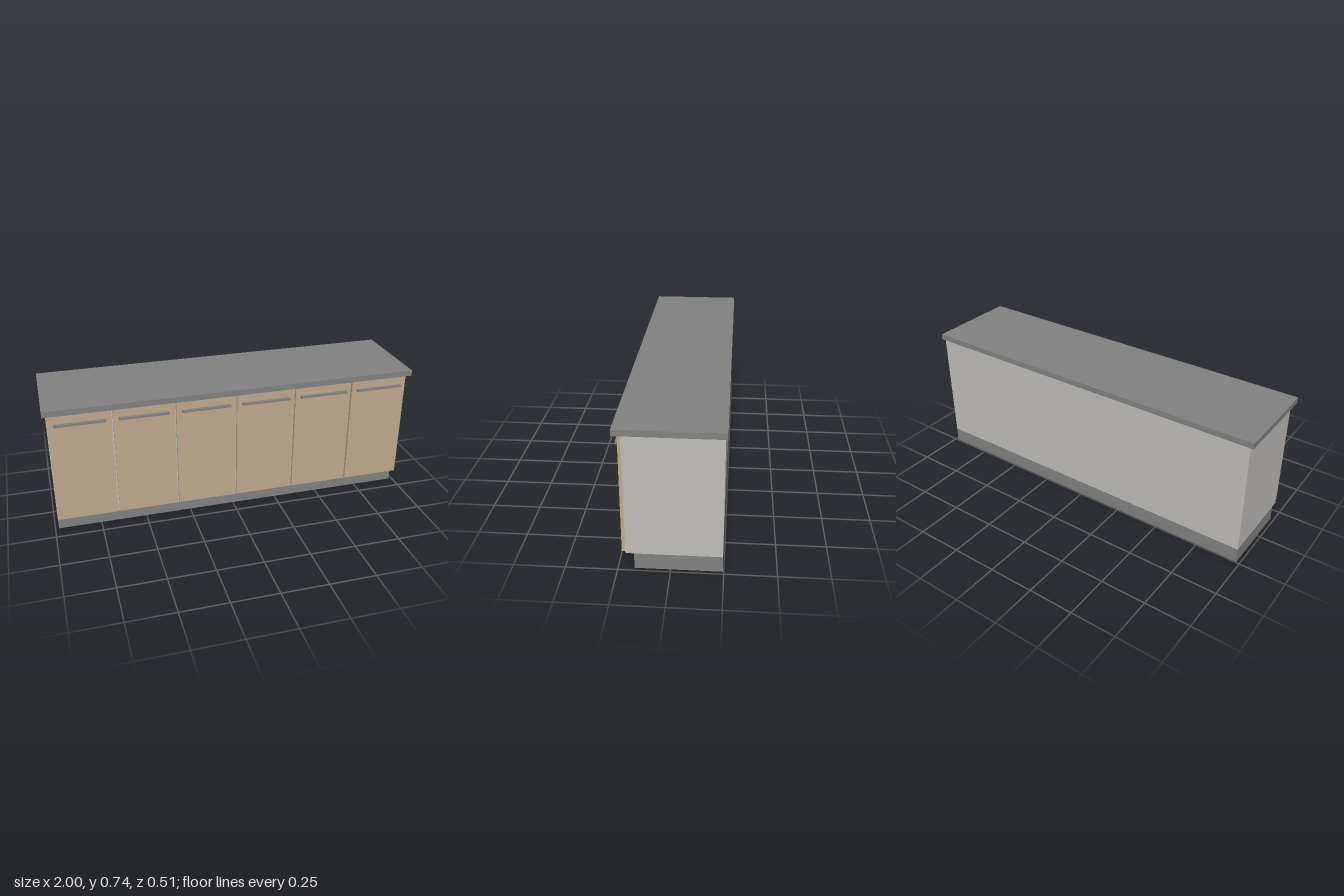
import * as THREE from 'three';

export function createModel() {
  const model = new THREE.Group();
  model.name = 'baseCabinetRow';

  const material = (name, color) => {
    const m = new THREE.MeshStandardMaterial({ color });
    m.name = name;
    return m;
  };
  const darkGrey = material('darkGrey', 0x828282);
  const lightGrey = material('lightGrey', 0xbfbebb);
  const wood = material('wood', 0xc0aa8e);

  // Box given by its extents along each axis
  const addBox = (name, mat, [x0, x1], [y0, y1], [z0, z1]) => {
    const mesh = new THREE.Mesh(new THREE.BoxGeometry(x1 - x0, y1 - y0, z1 - z0), mat);
    mesh.position.set((x0 + x1) / 2, (y0 + y1) / 2, (z0 + z1) / 2);
    mesh.name = name;
    model.add(mesh);
  };

  const half = 0.982;
  const back = -0.245;
  const front = 0.213;

  // Recessed plinth, carcass and overhanging worktop
  addBox('plinth', darkGrey, [-half, half], [0, 0.083], [back, 0.172]);
  addBox('carcass', lightGrey, [-half, half], [0.083, 0.707], [back, front]);
  addBox('worktop', darkGrey, [-1, 1], [0.707, 0.738], [-0.254, 0.254]);

  // Six doors with narrow gaps, each with a bar handle near the top
  const count = 6;
  const pitch = (2 * half) / count;
  const doorHalf = pitch / 2 - 0.004;
  const doorFace = 0.23;
  for (let i = 0; i < count; i++) {
    const x = -half + pitch * (i + 0.5);
    addBox(`door${i + 1}`, wood, [x - doorHalf, x + doorHalf], [0.092, 0.698], [front, doorFace]);
    addBox(`handle${i + 1}`, darkGrey, [x - 0.131, x + 0.131], [0.641, 0.653], [doorFace, 0.246]);
  }

  return model;
}
